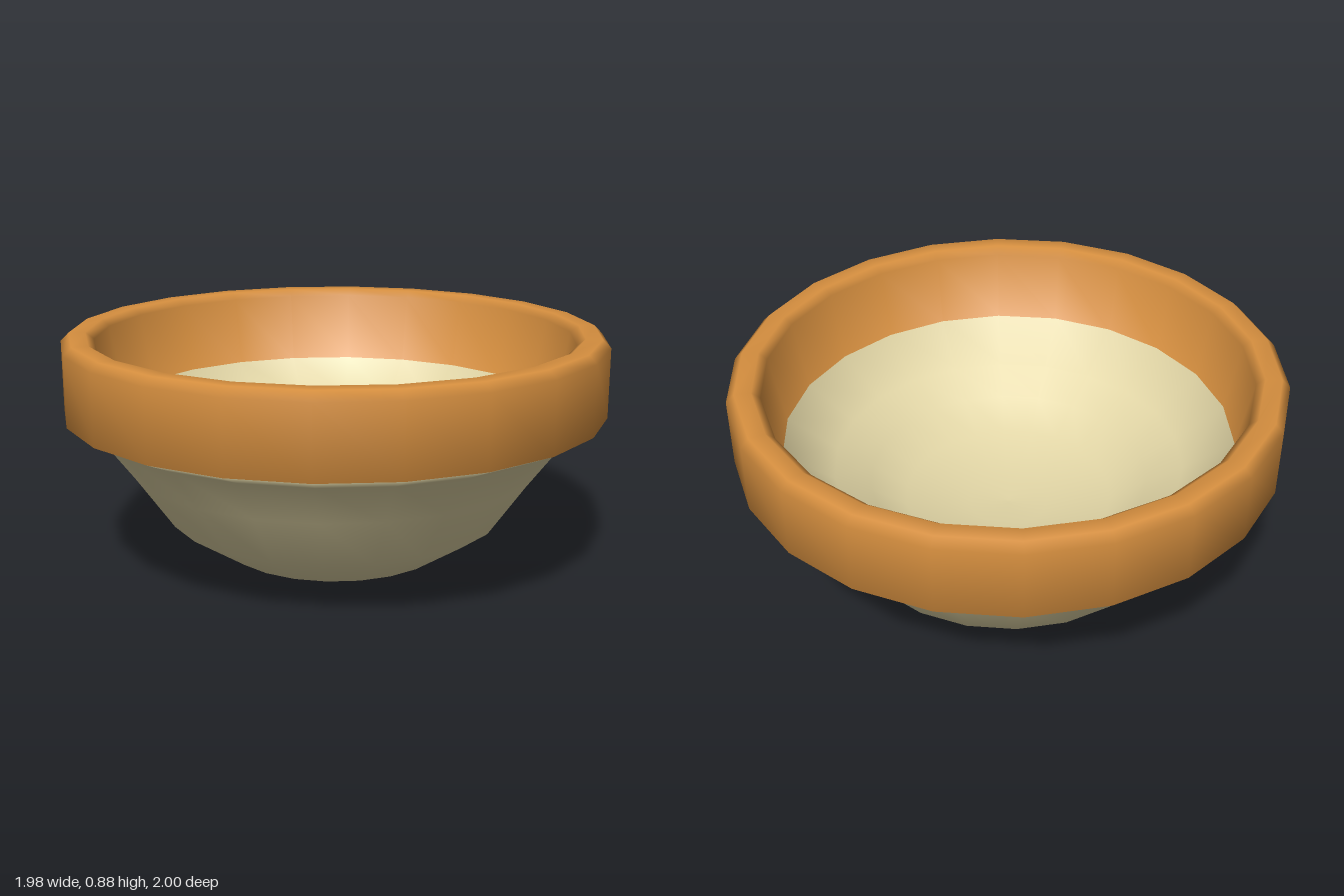
import * as THREE from 'three';

const SIDES = 22;

// Closed bowl section: from the outer base, up around the rim, down to the inner floor
const PROFILE = [
  [0, 0], [0.165, 0], [0.415, 0.053], [0.625, 0.19], [0.765, 0.39], [0.885, 0.55],
  [1, 0.6], [1, 0.855], [0.97, 0.885], [0.91, 0.885], [0.88, 0.86], [0.83, 0.6],
  [0.65, 0.475], [0.52, 0.405], [0.39, 0.315], [0.15, 0.275], [0, 0.27],
];
const RIM_START = 6;
const RIM_END = 11;

export function createModel() {
  const group = new THREE.Group();
  group.name = 'bowl';

  const glaze = new THREE.MeshStandardMaterial({ color: 0xd68f3f });
  glaze.name = 'orange glaze';
  const clay = new THREE.MeshStandardMaterial({ color: 0xe2d6a6 });
  clay.name = 'cream clay';

  const lathe = new THREE.LatheGeometry(PROFILE.map(([r, y]) => new THREE.Vector2(r, y)), SIDES);

  // Take some bands of the lathe, keeping the smooth normals shared between parts
  function addBands(name, material, keep) {
    const geometry = lathe.clone();
    const source = lathe.index.array;
    const index = [];
    for (let i = 0; i < source.length; i += 6) {
      const band = (i / 6) % (PROFILE.length - 1);
      if (keep(band)) index.push(...source.slice(i, i + 6));
    }
    geometry.setIndex(index);
    const mesh = new THREE.Mesh(geometry, material);
    mesh.name = name;
    group.add(mesh);
  }

  addBands('outerBody', clay, (b) => b < RIM_START);
  addBands('rim', glaze, (b) => b >= RIM_START && b < RIM_END);
  addBands('innerBasin', clay, (b) => b >= RIM_END);

  return group;
}
